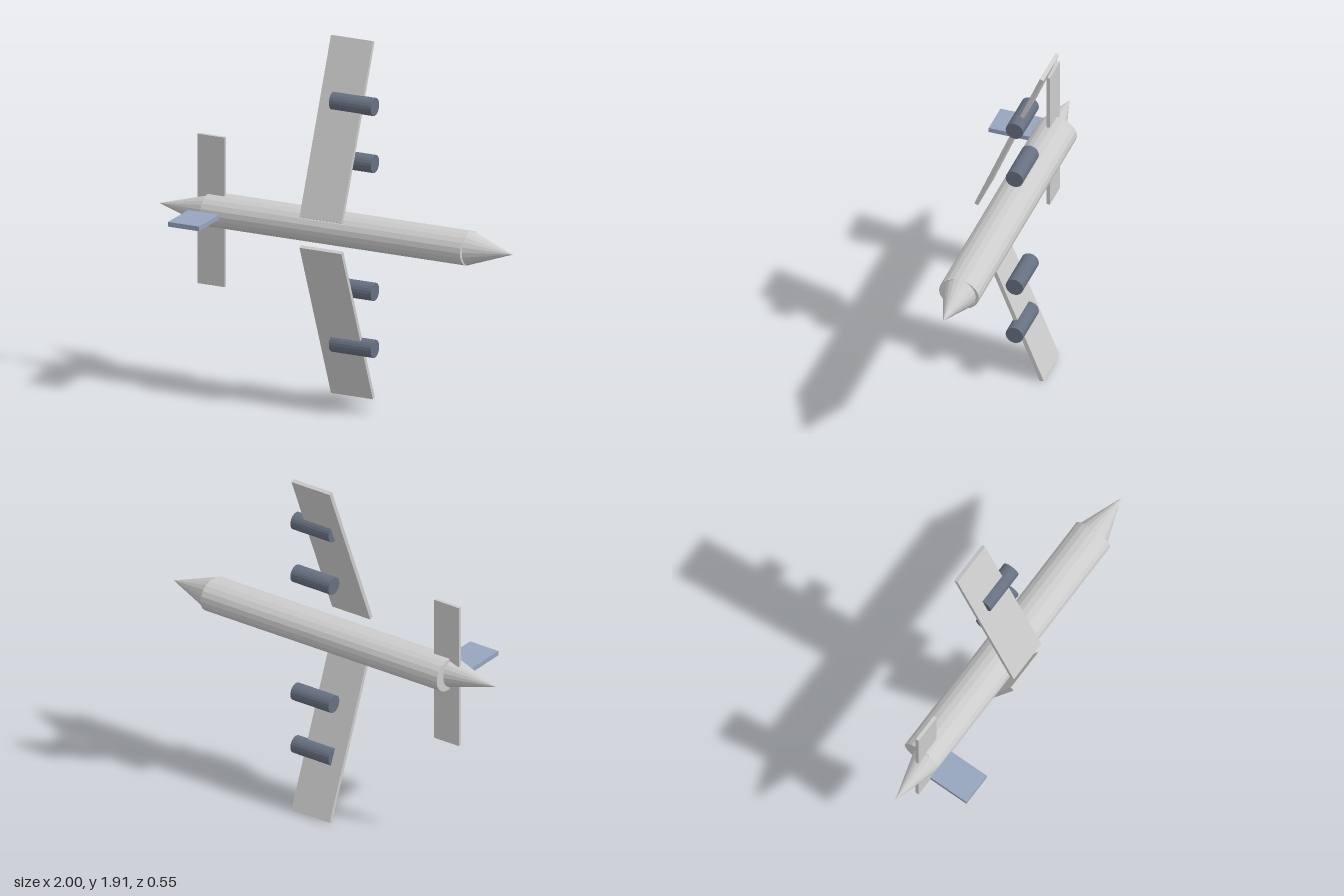
import * as THREE from 'three';

const MID_Y = 0.956; // height of the fuselage axis
const grey = new THREE.MeshStandardMaterial({ color: 0xcccccc, flatShading: true });
const slate = new THREE.MeshStandardMaterial({ color: 0x667080, flatShading: true });
const blue = new THREE.MeshStandardMaterial({ color: 0x95a5bd, flatShading: true });

export function createModel() {
  const model = new THREE.Group();
  model.name = 'airplane';

  const add = (name, geometry, material, x, y, z) => {
    const mesh = new THREE.Mesh(geometry, material);
    mesh.name = name;
    mesh.position.set(x, y, z);
    model.add(mesh);
    return mesh;
  };

  // Round part lying along x from x0 (radius r0) to x1 (radius r1)
  const tube = (name, x0, x1, r0, r1, y, z, material, sides = 20) => {
    const geometry = new THREE.CylinderGeometry(r1, r0, x1 - x0, sides);
    geometry.rotateZ(-Math.PI / 2);
    return add(name, geometry, material, (x0 + x1) / 2, y, z);
  };

  // Oval fuselage with pointed ends
  const fuselage = tube('fuselage', -0.728, 0.755, 0.088, 0.088, MID_Y, -0.054, grey);
  fuselage.scale.z = 0.108 / 0.088;
  tube('noseCone', 0.755, 1, 0.089, 0, MID_Y, -0.056, grey);
  tube('tailCone', -1, -0.728, 0, 0.079, MID_Y, -0.025, grey);

  // Swept-back wings and their engines, mirrored about the fuselage axis
  const inner = { y: 0.078, z: 0.087 };
  const outer = { y: 0.951, z: -0.267 };
  const span = Math.hypot(outer.y - inner.y, outer.z - inner.z);
  const tilt = Math.atan2(outer.z - inner.z, outer.y - inner.y);
  for (const side of [1, -1]) {
    const label = side > 0 ? 'upper' : 'lower';
    const wing = add(label + 'Wing', new THREE.BoxGeometry(0.239, span, 0.022), grey,
      -0.019, MID_Y + side * (inner.y + outer.y) / 2, (inner.z + outer.z) / 2);
    wing.rotation.x = side * tilt;

    tube(label + 'InnerEngine', -0.07, 0.17, 0.047, 0.047, MID_Y + side * 0.341, -0.144, slate);
    tube(label + 'OuterEngine', -0.07, 0.17, 0.047, 0.047, MID_Y + side * 0.645, -0.144, slate);
  }

  // Tail surfaces
  add('tailplane', new THREE.BoxGeometry(0.155, 0.797, 0.018), grey, -0.709, MID_Y, -0.041);
  add('tailFin', new THREE.BoxGeometry(0.177, 0.025, 0.227), blue, -0.709, MID_Y, 0.1635);

  return model;
}
